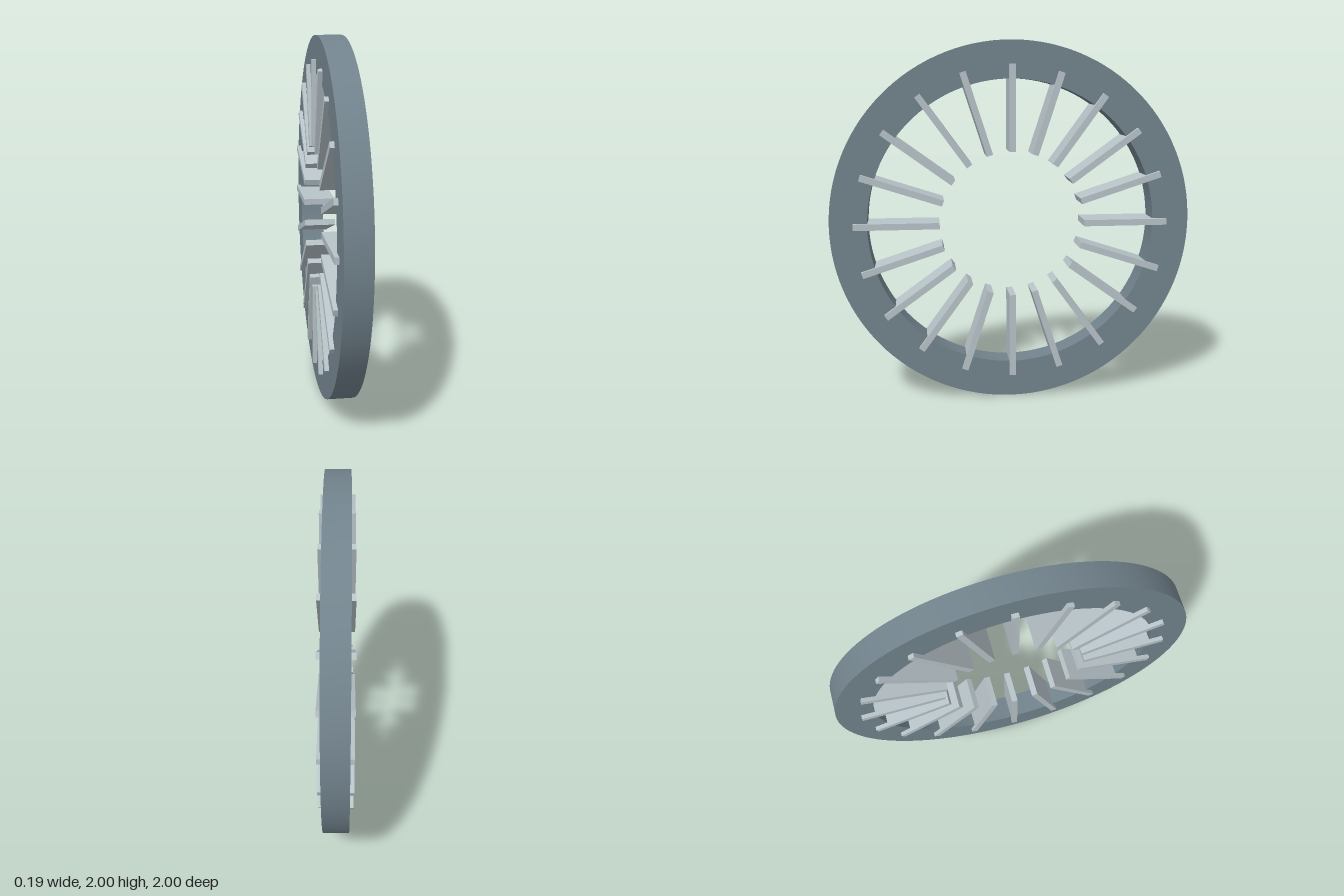
import * as THREE from 'three';
import { toCreasedNormals } from 'three/addons/utils/BufferGeometryUtils.js';

const ringPaint = new THREE.MeshStandardMaterial({ color: 0x72838d });
ringPaint.name = 'slate grey';
const bladePaint = new THREE.MeshStandardMaterial({ color: 0xb8c4c9 });
bladePaint.name = 'pale grey';

const OUTER = 1, INNER = 0.795, HALF = 0.07;
const BLADES = 20, BLADE_IN = 0.402, BLADE_OUT = 0.872;

export function createModel() {
  const model = new THREE.Group();
  model.name = 'bladedRing';

  // Flat ring with a rectangular section, its axis along x
  const section = [[INNER, -HALF], [OUTER, -HALF], [OUTER, HALF], [INNER, HALF], [INNER, -HALF]]
    .map(([r, h]) => new THREE.Vector2(r, h));
  const ringGeometry = toCreasedNormals(new THREE.LatheGeometry(section, 120), 0.5);
  ringGeometry.rotateZ(Math.PI / 2);
  const ring = new THREE.Mesh(ringGeometry, ringPaint);
  ring.name = 'ring';
  ring.position.y = OUTER;
  model.add(ring);

  // Radial blades, slightly wider than the ring and set through it
  const blades = new THREE.Group();
  blades.name = 'blades';
  blades.position.y = OUTER;
  const bladeGeometry = new THREE.BoxGeometry(0.186, BLADE_OUT - BLADE_IN, 0.035);
  bladeGeometry.translate(0, (BLADE_OUT + BLADE_IN) / 2, 0);
  for (let i = 0; i < BLADES; i++) {
    const blade = new THREE.Mesh(bladeGeometry, bladePaint);
    blade.name = `blade${i + 1}`;
    blade.rotation.x = (i / BLADES) * Math.PI * 2;
    blades.add(blade);
  }
  model.add(blades);

  return model;
}
